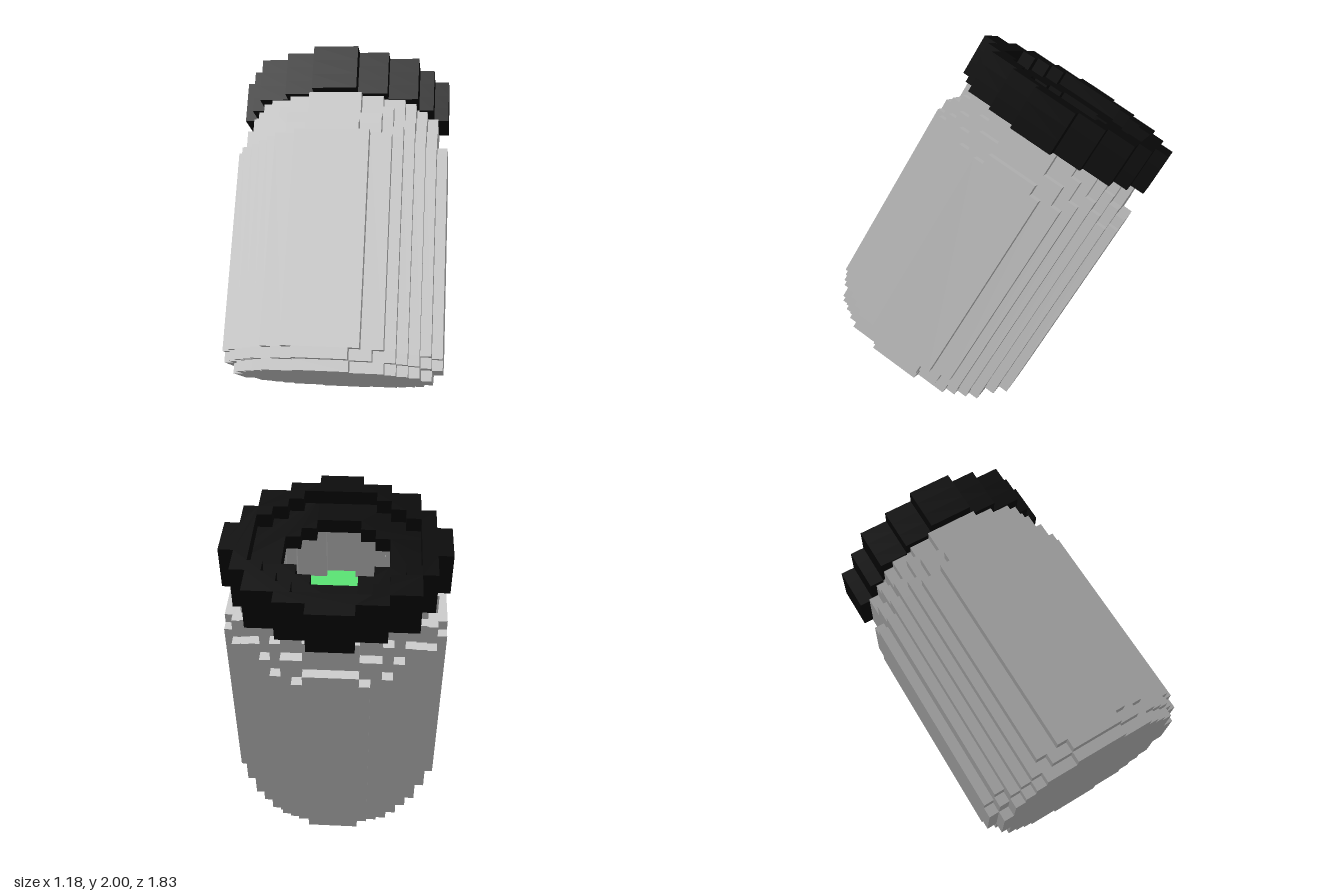
import * as THREE from 'three';

const V = 0.055;  // voxel edge of jar and liquid
const L = 0.077;  // voxel edge of lid

// Stepped counter-clockwise outline of all cells with x² + z² <= r2
function outline(r2, size, Type = THREE.Shape) {
  const n = Math.floor(Math.sqrt(r2));
  const right = [], left = [];
  for (let z = -n; z <= n; z++) {
    const h = Math.floor(Math.sqrt(r2 - z * z)) + 0.5;
    for (const e of [z - 0.5, z + 0.5]) {
      right.unshift(new THREE.Vector2(h * size, -e * size));
      left.push(new THREE.Vector2(-h * size, -e * size));
    }
  }
  // Drop corners that lie on a straight run
  const pts = [...right, ...left];
  const keep = pts.filter((p, i) => {
    const a = pts[(i + pts.length - 1) % pts.length], b = pts[(i + 1) % pts.length];
    return Math.abs((p.x - a.x) * (b.y - p.y) - (p.y - a.y) * (b.x - p.x)) > 1e-7;
  });
  return new Type(keep);
}

// Voxel disc or ring from height y0 to y1
function disc(parent, name, material, size, r2, y0, y1, holeR2 = 0) {
  const shape = outline(r2, size);
  if (holeR2) shape.holes.push(outline(holeR2, size, THREE.Path));
  const geo = new THREE.ExtrudeGeometry(shape, { depth: y1 - y0, bevelEnabled: false });
  geo.rotateX(-Math.PI / 2);
  geo.translate(0, y0, 0);
  const mesh = new THREE.Mesh(geo, material);
  mesh.name = name;
  parent.add(mesh);
}

export function createModel() {
  const glass = new THREE.MeshStandardMaterial({ color: 0xcccccc, flatShading: true });
  const black = new THREE.MeshStandardMaterial({ color: 0x080808, flatShading: true });
  const green = new THREE.MeshStandardMaterial({ color: 0x58e272, flatShading: true });
  const jar = new THREE.Group();
  jar.name = 'tiltedJar';

  const inner = 65;
  const lidBase = 1.434;

  // Jar: base plate, rounded foot, wall, shoulder and neck
  disc(jar, 'jarBase', glass, V, 89, 0, V);
  disc(jar, 'jarFoot', glass, V, 105, V, 2 * V, inner);
  disc(jar, 'jarWall', glass, V, 110, 2 * V, 22 * V, inner);
  disc(jar, 'jarShoulder', glass, V, 105, 22 * V, 23 * V, inner);
  disc(jar, 'jarUpperShoulder', glass, V, 98, 23 * V, 24 * V, inner);
  disc(jar, 'jarLowerNeck', glass, V, 89, 24 * V, 25 * V, inner);
  disc(jar, 'jarNeck', glass, V, 85, 25 * V, lidBase, inner);
  disc(jar, 'jarMouth', glass, V, 73, lidBase, lidBase + L, inner);

  // Liquid with an uneven surface, higher on its right
  const level = 20;
  disc(jar, 'liquid', green, V, inner, V, level * V);

  // Ripples in cells: x from, x to, z from, z to, height
  const ripples = [
    [-7, -3, -5, 4, 1], [-7, -4, -5, 4, 2],
    [2, 5, -6, -6, 1], [-1, 3, -7, -7, 1], [0, 2, -8, -8, 2], [0, 0, -5, -5, 1],
  ];
  for (const [x0, x1, z0, z1, h] of ripples) {
    const ripple = new THREE.Mesh(new THREE.BoxGeometry((x1 - x0 + 1) * V, h * V, (z1 - z0 + 1) * V), green);
    ripple.name = 'liquidRipple';
    ripple.position.set((x0 + x1) / 2 * V, (level + h / 2) * V, (z0 + z1) / 2 * V);
    jar.add(ripple);
  }

  // Lid: skirt, plate with opening, raised rim
  disc(jar, 'lidSkirt', black, L, 51, lidBase, lidBase + L, 37);
  disc(jar, 'lidPlate', black, L, 51, lidBase + L, lidBase + 2 * L, 10);
  disc(jar, 'lidRim', black, L, 51, lidBase + 2 * L, lidBase + 3 * L, 30);

  // Lean the jar back with a slight twist
  const ex = new THREE.Vector3(1, 0.025, 0.022).normalize();
  const ez = ex.clone().cross(new THREE.Vector3(-0.01, 0.852, -0.524)).normalize();
  const ey = ez.clone().cross(ex);
  jar.quaternion.setFromRotationMatrix(new THREE.Matrix4().makeBasis(ex, ey, ez));
  jar.position.set(0.006, 0.278, 0.45);

  const model = new THREE.Group();
  model.name = 'jarModel';
  model.add(jar);
  return model;
}
